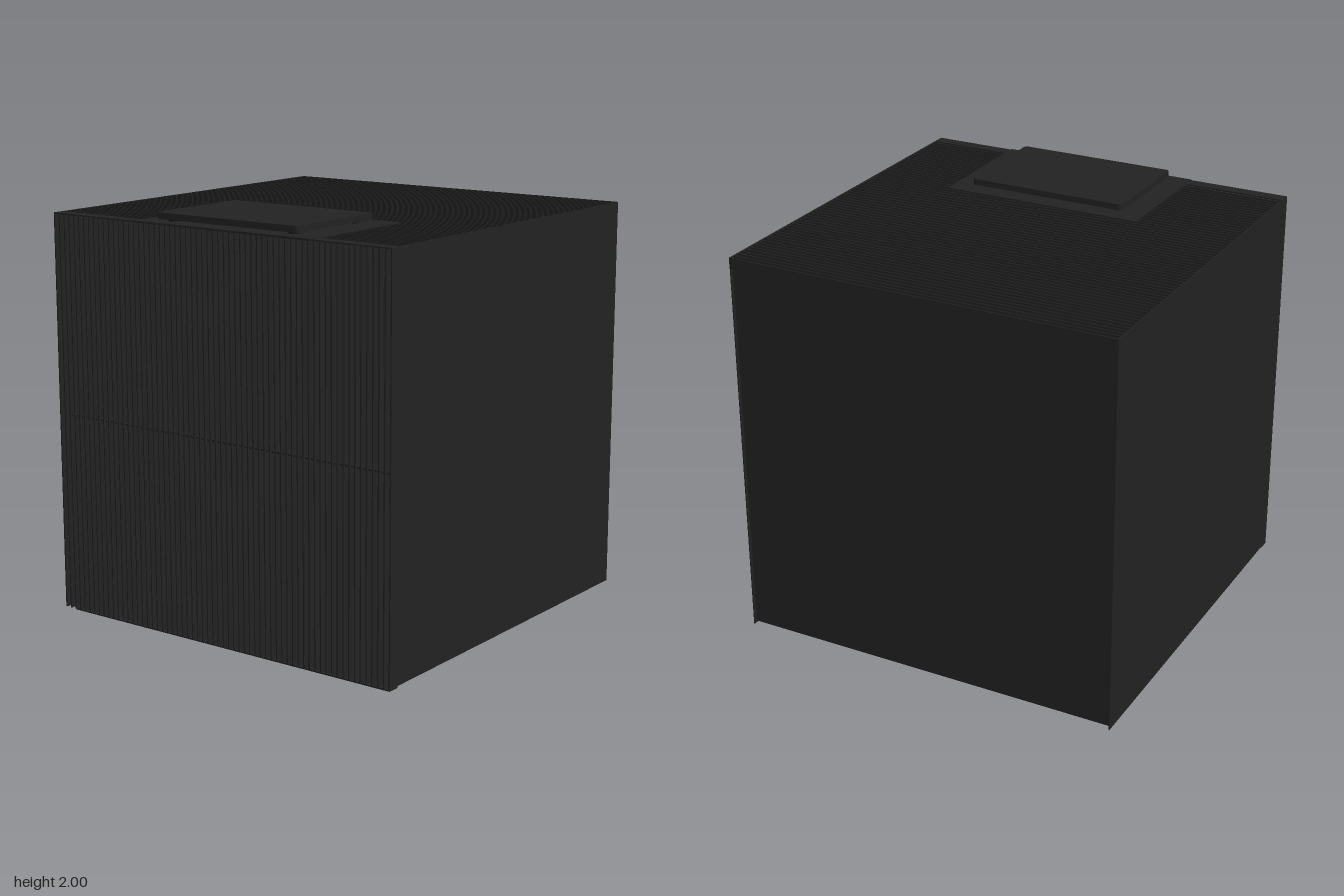
import * as THREE from 'three';

export function createModel() {
  const model = new THREE.Group();
  model.name = 'slattedCabinet';
  const charcoal = new THREE.MeshStandardMaterial({ color: 0x222222 });
  charcoal.name = 'charcoal';
  const rubber = new THREE.MeshStandardMaterial({ color: 0x151515 });
  rubber.name = 'black rubber';

  // Box given by its limits on each axis
  const box = (name, [x0, x1], [y0, y1], [z0, z1], parent = model) => {
    const mesh = new THREE.Mesh(new THREE.BoxGeometry(x1 - x0, y1 - y0, z1 - z0), charcoal);
    mesh.position.set((x0 + x1) / 2, (y0 + y1) / 2, (z0 + z1) / 2);
    mesh.name = name;
    parent.add(mesh);
    return mesh;
  };
  const group = (name) => {
    const g = new THREE.Group();
    g.name = name;
    model.add(g);
    return g;
  };

  const W = 0.975, T = 0.006, TOP = 1.955, UNDER = 1.9, BACK = -0.973, FRONT = 0.965, INNER = 0.907;
  const PITCH = 0.0313;

  // Thin side and back panels; the floor is open
  box('leftPanel', [W - T, W - 0.001], [0.008, UNDER], [BACK, INNER]);
  box('rightPanel', [-W + 0.001, -W + T], [0.008, UNDER], [BACK, INNER]);
  box('backPanel', [-W + T, 0.957], [0.03, UNDER], [BACK + 0.001, BACK + 0.007]);

  // Top grating: slats across x, end plates and a centre bar
  const top = group('topGrating');
  for (let i = 0; i < 60; i++) {
    const z = BACK + i * PITCH;
    box('topSlat', [-W + T, W - T], [UNDER, TOP], [z, z + T], top);
  }
  for (const s of [-1, 1]) {
    const x = s * (W - T / 2);
    box('topEndPlate', [x - T / 2, x + T / 2], [UNDER, TOP], [BACK, FRONT], top);
  }
  box('topCentreBar', [-0.004, 0.004], [UNDER, TOP - 0.012], [BACK, INNER], top);

  // Front grating: upright slats, top and bottom plates and a centre bar
  const front = group('frontGrating');
  const step = (2 * W - T) / 62;
  for (let i = 0; i <= 62; i++) {
    const x = -W + i * step;
    box('frontSlat', [x, x + T], [0.003, TOP - T], [INNER, FRONT], front);
  }
  box('frontTopPlate', [-W, W], [TOP - T, TOP], [INNER - 0.005, FRONT], front);
  box('frontBottomPlate', [-0.905, W], [0, T], [INNER, FRONT], front);
  box('frontCentreBar', [-0.905, W], [0.976, 0.985], [INNER, FRONT - 0.012], front);

  // Flat plate set into the top
  box('mountingPlate', [-0.465, 0.555], [TOP - 0.007, TOP + 0.002], [0.3, 0.969]);

  // Rounded slab standing on four small feet
  const [x0, x1, z0, z1, r] = [-0.36, 0.453, 0.367, 0.932, 0.018];
  const outline = new THREE.Shape();
  outline.absarc(x1 - r, -z0 - r, r, 0, Math.PI / 2);
  outline.absarc(x0 + r, -z0 - r, r, Math.PI / 2, Math.PI);
  outline.absarc(x0 + r, -z1 + r, r, Math.PI, Math.PI * 1.5);
  outline.absarc(x1 - r, -z1 + r, r, Math.PI * 1.5, Math.PI * 2);
  const slab = new THREE.Mesh(
    new THREE.ExtrudeGeometry(outline, { depth: 0.03, bevelEnabled: false, curveSegments: 6 }), charcoal);
  slab.rotation.x = -Math.PI / 2;
  slab.position.y = 1.97;
  slab.name = 'slab';
  model.add(slab);
  for (const x of [-0.3, 0.39]) {
    for (const z of [0.435, 0.875]) {
      const foot = new THREE.Mesh(new THREE.CylinderGeometry(0.024, 0.024, 0.014, 20), rubber);
      foot.position.set(x, 1.964, z);
      foot.name = 'slabFoot';
      model.add(foot);
    }
  }
  return model;
}
